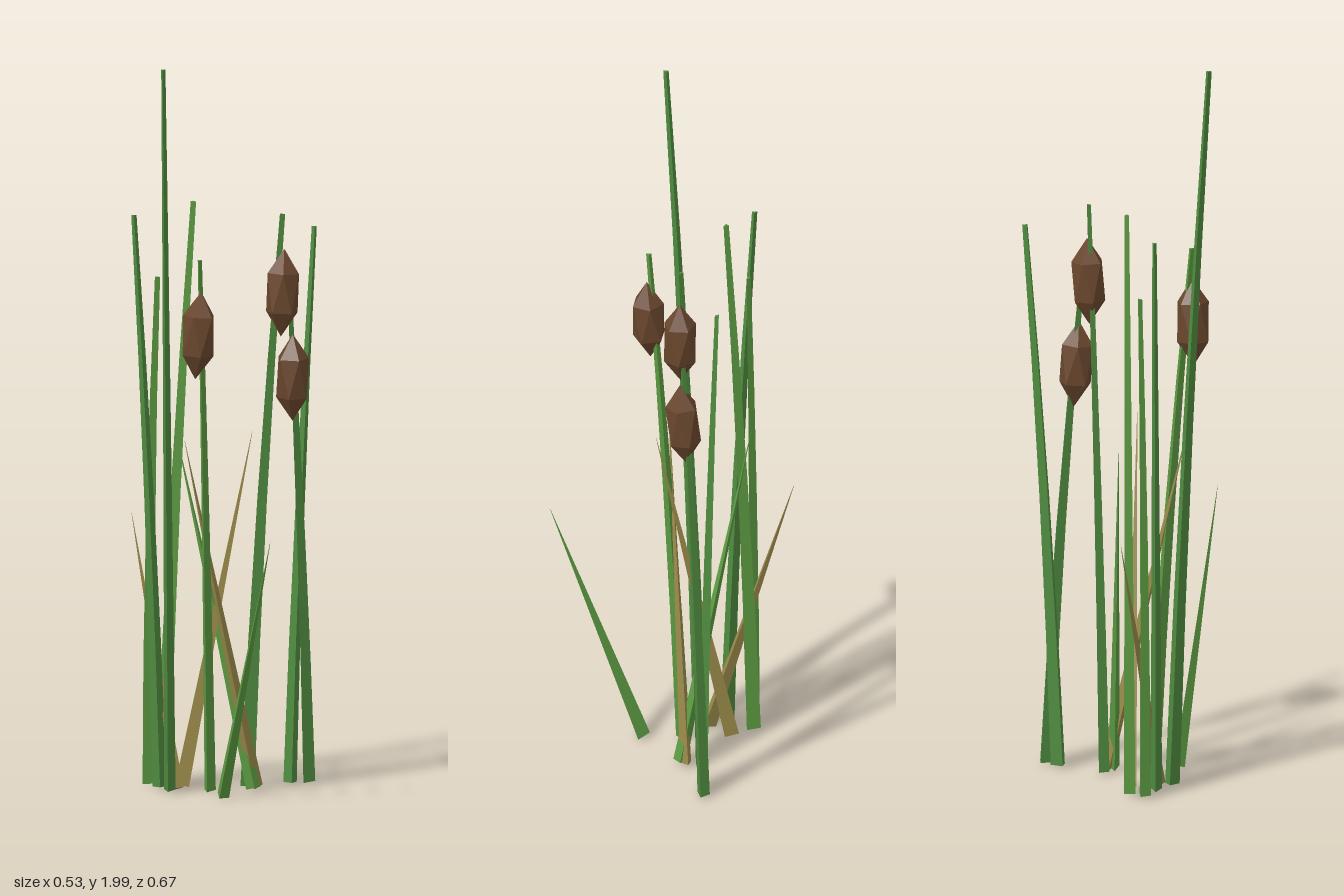
import * as THREE from 'three';

const mat = (name, color) => {
  const m = new THREE.MeshStandardMaterial({ color, flatShading: true });
  m.name = name;
  return m;
};

const BASE_Y = 0.015;

// Three-sided tapering stalk from base to tip, sagging slightly backwards in the middle
function stalk(base, tip, { rBase = 0.024, rTip = 0.009, sag = 0, flip = false }) {
  const a = new THREE.Vector3(...base), b = new THREE.Vector3(...tip);
  const d = b.clone().sub(a);
  const lean = Math.atan2(Math.hypot(d.x, d.z), d.y);
  const yaw = Math.atan2(d.x, d.z);
  const len = d.length();
  const geo = new THREE.CylinderGeometry(rTip, rBase, len, 3, sag ? 4 : 1);
  if (flip) geo.rotateY(Math.PI);
  geo.scale(0.75, 1, 1);
  geo.translate(0, len / 2, 0);
  const pos = geo.attributes.position;
  for (let i = 0; i < pos.count; i++) {
    const t = pos.getY(i) / len;
    pos.setZ(i, pos.getZ(i) - sag * 4 * t * (1 - t));
  }
  geo.rotateX(lean);
  geo.rotateY(yaw);
  geo.translate(a.x, a.y, a.z);
  geo.computeVertexNormals();
  return geo;
}

// Stretched icosahedron standing on one corner
function seedHead() {
  const geo = new THREE.IcosahedronGeometry(1, 0);
  geo.rotateZ(Math.atan2(1, (1 + Math.sqrt(5)) / 2) * -1);
  // turn the nearest corner exactly upright
  const p = geo.attributes.position;
  const top = new THREE.Vector3(), v = new THREE.Vector3();
  for (let i = 0; i < p.count; i++) {
    v.fromBufferAttribute(p, i);
    if (i === 0 || v.y > top.y) top.copy(v);
  }
  geo.applyQuaternion(new THREE.Quaternion().setFromUnitVectors(top.normalize(), new THREE.Vector3(0, 1, 0)));
  geo.scale(0.05, 0.12, 0.05);
  geo.computeVertexNormals();
  return geo;
}

export function createModel() {
  const group = new THREE.Group();
  const green = mat('reedGreen', 0x508c40);
  const light = mat('freshGreen', 0x5c9a42);
  const straw = mat('dryStraw', 0x9a8a4a);
  const brown = mat('seedBrown', 0x6b482e);

  const add = (name, geo, material) => {
    const m = new THREE.Mesh(geo, material);
    m.name = name;
    group.add(m);
    return m;
  };

  // Tall reeds: base x, z, then tip x, y, z
  const reeds = [
    [-0.19, -0.085, -0.26, 2.0, 0.0, green],
    [-0.178, -0.155, -0.212, 1.57, -0.235, green],
    [-0.175, -0.225, -0.155, 1.4, -0.21, light],
    [-0.13, -0.222, -0.082, 1.61, -0.14, light],
    [0.168, -0.045, 0.258, 1.525, -0.07, green],
    // stems that carry seed heads
    [-0.1, -0.025, -0.18, 1.48, 0.058, light],
    [0.033, -0.055, 0.108, 1.58, 0.01, green],
    [0.217, -0.035, 0.132, 1.34, 0.01, green],
  ];
  for (const [x, z, tx, ty, tz, m] of reeds) {
    add('reedStem', stalk([x, BASE_Y, z], [tx, ty, tz], { sag: 0.008 }), m);
  }

  // Pointed leaf blades
  const blades = [
    [-0.125, 0.085, -0.122, 0.74, 0.335, light, true],
    [0.025, 0.0, -0.092, 0.96, -0.21, light, false],
    [-0.158, -0.1, -0.16, 0.74, -0.335, straw, false],
    [-0.105, -0.16, -0.015, 1.0, 0.06, straw, false],
    [0.04, -0.015, -0.193, 0.98, 0.002, straw, true],
  ];
  for (const [x, z, tx, ty, tz, m, flip] of blades) {
    add('leafBlade', stalk([x, BASE_Y, z], [tx, ty, tz], { rTip: 0.0005, flip }), m);
  }

  // Seed heads
  const heads = [
    [-0.184, 1.275, 0.058, 0.05, -0.05],
    [0.109, 1.365, 0.012, 0.03, -0.04],
    [0.143, 1.13, 0.008, 0.03, 0.05],
  ];
  heads.forEach(([x, y, z, tiltX, tiltZ], i) => {
    const head = add('seedHead', seedHead(), brown);
    head.position.set(x, y, z);
    head.rotation.set(tiltX, i * 0.4, tiltZ);
  });

  return group;
}
